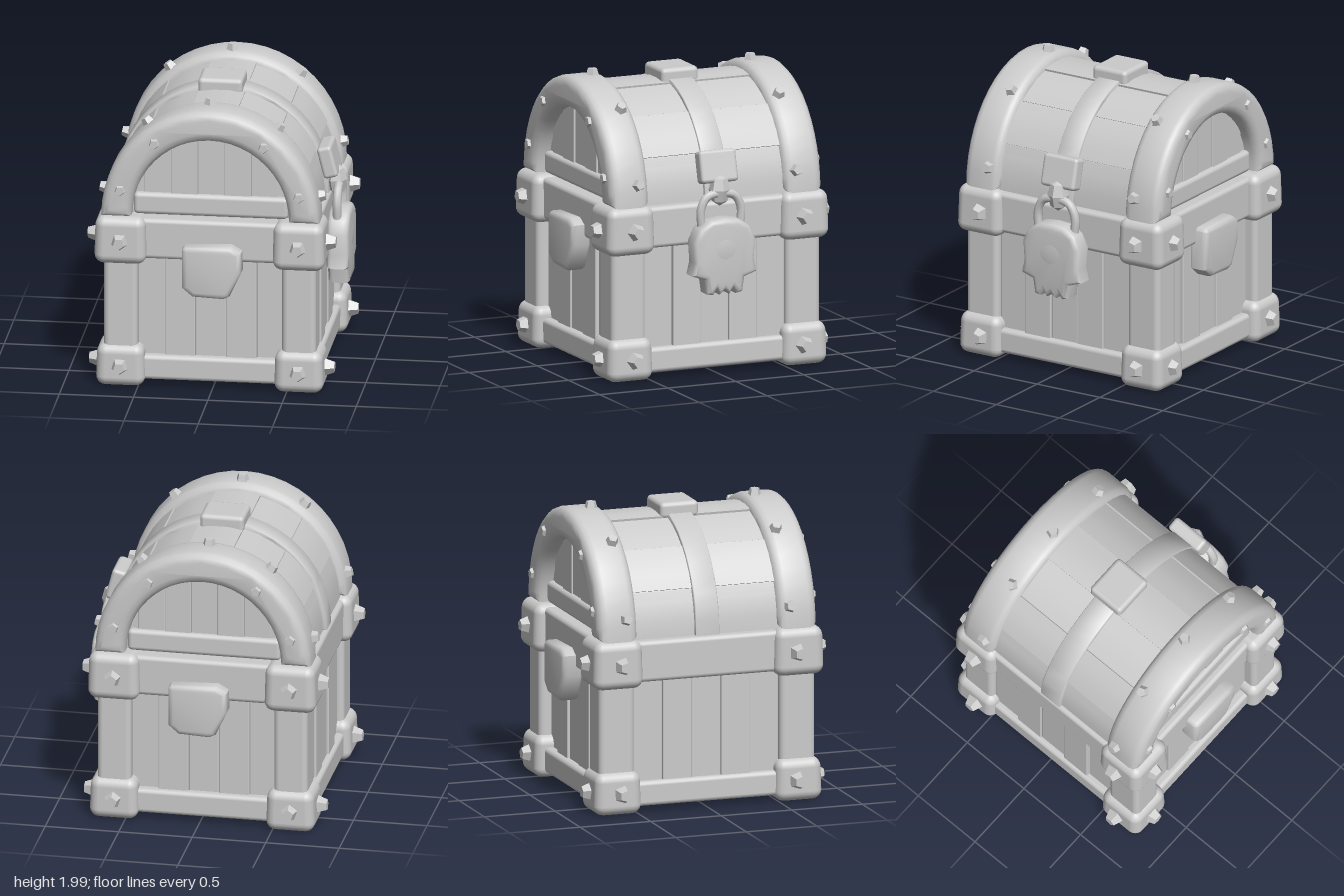
import * as THREE from 'three';
import { toCreasedNormals } from 'three/addons/utils/BufferGeometryUtils.js';
import { RoundedBoxGeometry } from 'three/addons/geometries/RoundedBoxGeometry.js';

const CX = -0.02;      // chest centre line
const BASE = 1.19;     // bottom of the lid
const material = new THREE.MeshStandardMaterial({ color: 0xcccccc, side: THREE.DoubleSide });

function add(parent, name, geometry, x = 0, y = 0, z = 0) {
  const mesh = new THREE.Mesh(geometry, material);
  mesh.name = name;
  mesh.position.set(x, y, z);
  parent.add(mesh);
  return mesh;
}

// Softly rounded box given by its limits
function slab(parent, name, x0, x1, y0, y1, z0, z1, r = 0.025) {
  const g = new RoundedBoxGeometry(x1 - x0, y1 - y0, z1 - z0, 2, r);
  return add(parent, name, g, (x0 + x1) / 2, (y0 + y1) / 2, (z0 + z1) / 2);
}

// Points along half an ellipse, from right to left
function arc(w, h, n = 24) {
  return Array.from({ length: n + 1 }, (_, i) => {
    const a = (i / n) * Math.PI;
    return new THREE.Vector2(CX + w * Math.cos(a), BASE + h * Math.sin(a));
  });
}

function extrude(points, depth, bevel, crease = 0.8) {
  const g = new THREE.ExtrudeGeometry(new THREE.Shape(points), {
    depth: depth - 2 * bevel, bevelEnabled: bevel > 0, bevelThickness: bevel,
    bevelSize: bevel, bevelOffset: -bevel, bevelSegments: 3,
  });
  g.translate(0, 0, bevel - depth / 2);
  return toCreasedNormals(g, crease);
}

// Faceted rivet pointing along dir
function rivet(parent, x, y, z, dir, r = 0.065, h = 0.07) {
  const m = add(parent, 'rivet', toCreasedNormals(new THREE.CylinderGeometry(r * 0.6, r, h, 5), 0.5), x, y, z);
  m.quaternion.setFromUnitVectors(new THREE.Vector3(0, 1, 0), dir.clone().normalize());
}

function buildBody() {
  const body = new THREE.Group();
  body.name = 'body';
  slab(body, 'core', -0.68, 0.64, 0.04, 1.18, -0.67, 0.67);

  // Planks of slightly different depth on all four walls
  const depths = [0.015, 0.03, 0.02, 0.035, 0.01];
  depths.forEach((d, i) => {
    const w = 0.206, u = -0.515 + i * w;
    for (const s of [-1, 1]) {
      slab(body, 'endPlank', CX + u, CX + u + w, 0.15, 1.0, s * 0.67 - d, s * 0.67 + d, 0.008);
      slab(body, 'sidePlank', CX + s * 0.66 - d, CX + s * 0.66 + d, 0.15, 1.0, u, u + w, 0.008);
    }
  });

  // Lower and upper rails
  for (const [y0, y1] of [[0.05, 0.22], [0.9, 1.18]]) {
    for (const s of [-1, 1]) {
      slab(body, 'endRail', -0.5, 0.46, y0, y1, s * 0.68 - 0.065, s * 0.68 + 0.065, 0.03);
      slab(body, 'sideRail', CX + s * 0.66 - 0.06, CX + s * 0.66 + 0.06, y0, y1, -0.52, 0.52, 0.03);
    }
  }

  // Corner posts and riveted corner caps
  for (const sx of [-1, 1]) for (const sz of [-1, 1]) {
    const x = CX + sx * 0.6, z = sz * 0.64;
    slab(body, 'post', x - 0.115, x + 0.115, 0.2, 1.0, z - 0.125, z + 0.125, 0.04);
    for (const [y0, y1, r] of [[0.01, 0.3, 0.165], [0.87, 1.2, 0.175]]) {
      const cap = new RoundedBoxGeometry(2 * r, y1 - y0, 2 * r, 3, 0.065);
      const p = cap.attributes.position;
      for (let i = 0; i < p.count; i++) {
        const k = 1 - 0.1 * Math.max(0, p.getY(i)) / (y1 - y0);   // narrower at the top
        p.setXYZ(i, p.getX(i) * k, p.getY(i), p.getZ(i) * k);
      }
      add(body, 'cornerCap', cap, x, (y0 + y1) / 2, z);
      const ym = (y0 + y1) / 2;
      rivet(body, x + sx * (r + 0.025), ym, z - sz * 0.02, new THREE.Vector3(sx, 0, 0));
      rivet(body, x, ym, z + sz * (r + 0.015), new THREE.Vector3(0, 0, sz));
    }
  }

  // Hanging flap on each arched end
  const flap = [[-0.2, 1.0], [-0.18, 1.02], [0.13, 1.03], [0.2, 0.99], [0.2, 0.85], [0.12, 0.68],
    [0.08, 0.66], [-0.13, 0.67], [-0.2, 0.73]].map(([x, y]) => new THREE.Vector2(x, y));
  for (const s of [-1, 1]) {
    const m = add(body, 'flap', extrude(flap, 0.15, 0.035), 0, 0, s * 0.76);
    if (s < 0) m.rotation.y = Math.PI;
  }
  return body;
}

function buildLid() {
  const lid = new THREE.Group();
  lid.name = 'lid';
  add(lid, 'barrel', extrude(arc(0.69, 0.705, 20), 1.32, 0));

  // Curved planks with small steps between them
  const steps = [0, 0.012, 0.004, 0.014, 0.002, 0.01, 0];
  steps.forEach((d, i) => {
    const at = (k, o) => {
      const a = (i + k) * Math.PI / steps.length;
      return new THREE.Vector2(CX + (0.69 + o) * Math.cos(a), BASE + (0.705 + o) * Math.sin(a));
    };
    const ks = [0.01, 0.33, 0.67, 0.99];
    const pts = [...ks.map(k => at(k, d)), ...ks.slice().reverse().map(k => at(k, -0.03))];
    add(lid, 'lidPlank', extrude(pts, 1.2, 0));
  });

  // Thick arched bands, one per end
  const band = [...arc(0.735, 0.77), ...arc(0.53, 0.555).reverse()];
  for (const s of [-1, 1]) {
    add(lid, 'archBand', extrude(band, 0.28, 0.06, 1), 0, 0, s * 0.635);
    slab(lid, 'lidEndRail', -0.54, 0.5, 1.2, 1.35, s * 0.655 - 0.05, s * 0.655 + 0.05, 0.03);
    for (let i = 0; i < 5; i++) {
      const x = -0.47 + i * 0.18, d = 0.01 + 0.01 * (i % 2);
      const top = BASE + 0.6 * Math.sqrt(1 - ((Math.abs(x + 0.09 - CX)) / 0.6) ** 2);
      slab(lid, 'lidEndPlank', x, x + 0.18, 1.2, top, s * 0.66 - d, s * 0.66 + d, 0.006);
    }
    // Rivets around the outside and on the face of the band
    for (const a of [0.2, 0.93, 1.59, 2.2, 2.94]) {
      const c = Math.cos(a), n = Math.sin(a);
      rivet(lid, CX + 0.735 * c, BASE + 0.77 * n, s * 0.58, new THREE.Vector3(c, n, 0), 0.055, 0.08);
    }
    for (const a of [0.3, 0.95, 2.2, 2.84]) {
      rivet(lid, CX + 0.63 * Math.cos(a), BASE + 0.66 * Math.sin(a), s * 0.77, new THREE.Vector3(0, 0, s), 0.05, 0.05);
    }
  }

  // Middle strap with a plate on top
  add(lid, 'strap', extrude([...arc(0.715, 0.735), ...arc(0.66, 0.68).reverse()], 0.17, 0.01));
  slab(lid, 'topPlate', -0.18, 0.12, 1.87, 1.98, -0.135, 0.135, 0.03);
  return lid;
}

function buildLock() {
  const lock = new THREE.Group();
  lock.name = 'lock';
  // Hasp plate leaning with the lid, and its pointed boss
  const plate = add(lock, 'haspPlate', new RoundedBoxGeometry(0.1, 0.22, 0.27, 2, 0.025), 0.69, 1.42, 0);
  plate.rotation.z = 0.25;
  const boss = add(lock, 'haspBoss', toCreasedNormals(new THREE.SphereGeometry(1, 6, 4), 0.6), 0.74, 1.27, 0);
  boss.scale.set(0.07, 0.11, 0.075);

  // Shackle
  const path = [[-0.14, 1.0], [-0.145, 1.15], [-0.1, 1.23], [0, 1.25], [0.1, 1.23], [0.145, 1.15], [0.14, 1.0]]
    .map(([z, y]) => new THREE.Vector3(0.76, y, z));
  add(lock, 'shackle', new THREE.TubeGeometry(new THREE.CatmullRomCurve3(path), 24, 0.03, 8));

  // Skull shaped padlock: domed crown, cheek points and a toothed jaw
  const half = [[0, 1.09], [0.1, 1.08], [0.18, 1.03], [0.225, 0.94], [0.215, 0.8], [0.235, 0.71],
    [0.145, 0.68], [0.13, 0.58], [0.085, 0.57], [0.06, 0.61], [0.035, 0.57], [0, 0.6]];
  const pts = [...half, ...half.slice(1, -1).reverse().map(([u, y]) => [-u, y])]
    .map(([u, y]) => new THREE.Vector2(u, y)).reverse();
  const skull = add(lock, 'padlock', extrude(pts, 0.15, 0.035), 0.77, 0, 0);
  skull.rotation.y = Math.PI / 2;
  const brow = add(lock, 'padlockDome', new THREE.SphereGeometry(1, 16, 10), 0.8, 0.88, 0);
  brow.scale.set(0.05, 0.17, 0.18);
  return lock;
}

export function createModel() {
  const chest = new THREE.Group();
  chest.name = 'chest';
  chest.add(buildBody(), buildLid(), buildLock());
  return chest;
}
